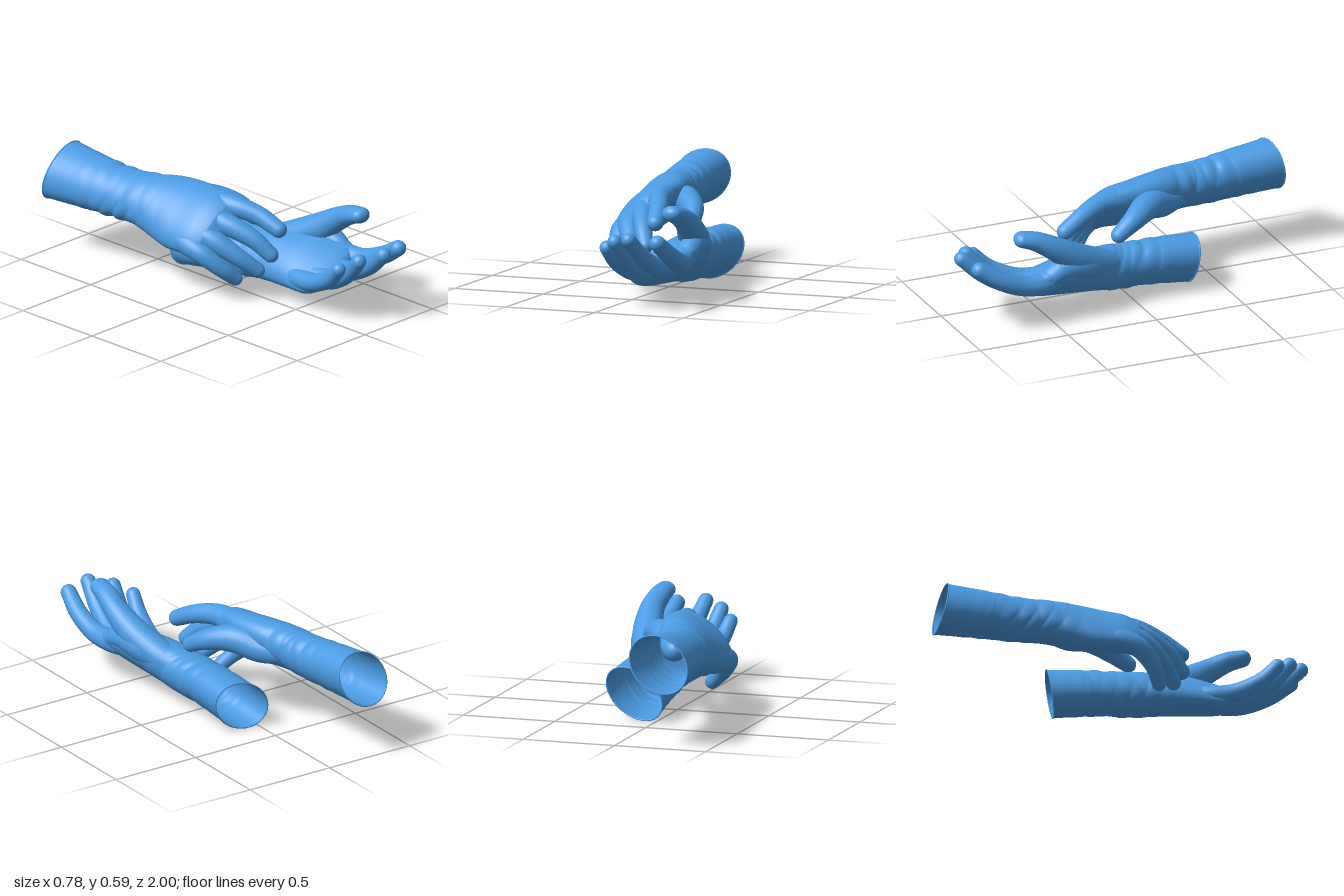
import * as THREE from 'three';

const gloveBlue = new THREE.MeshStandardMaterial({ color: 0x4c9be3, side: THREE.DoubleSide });
gloveBlue.name = 'glove blue';

// Smooth closed skin through rings of points
function skin(rings) {
  const n = rings[0].length, pos = [], idx = [];
  rings.forEach((ring) => ring.forEach((p) => pos.push(p.x, p.y, p.z)));
  for (let i = 0; i < rings.length - 1; i++) {
    for (let j = 0; j < n; j++) {
      const k = (j + 1) % n;
      const a = i * n + j, b = i * n + k, c = a + n, d = b + n;
      idx.push(a, b, c, b, d, c);
    }
  }
  const geo = new THREE.BufferGeometry();
  geo.setAttribute('position', new THREE.Float32BufferAttribute(pos, 3));
  geo.setIndex(idx);
  geo.computeVertexNormals();
  return geo;
}

function ellipse(center, right, up, a, b, n) {
  return Array.from({ length: n }, (_, j) => {
    const t = (j / n) * Math.PI * 2;
    return center.clone().addScaledVector(right, a * Math.cos(t)).addScaledVector(up, b * Math.sin(t));
  });
}

function add(group, name, geo) {
  const mesh = new THREE.Mesh(geo, gloveBlue);
  mesh.name = name;
  group.add(mesh);
}

// Digit: path points [x, y, z, radius, optional sideways widening], rounded at both ends
function digit(points) {
  const path = new THREE.CatmullRomCurve3(points.map((p) => new THREE.Vector3(p[0], p[1], p[2])));
  const radii = new THREE.CatmullRomCurve3(points.map((p, i) => new THREE.Vector3(p[3], p[4] ?? 1, i * 0.1)));
  const rings = [], steps = 28, capSteps = 8;
  const ring = (t, advance, scale) => {
    const tan = path.getTangent(t);
    const right = new THREE.Vector3(0, 1, 0).cross(tan).normalize();
    const up = tan.clone().cross(right);
    const size = radii.getPoint(t), r = size.x;
    const center = path.getPoint(t).addScaledVector(tan, r * advance);
    rings.push(ellipse(center, right, up, r * size.y * scale, r * scale, 24));
  };
  const cap = (t, side, i) => {
    const f = (i / capSteps) * Math.PI / 2;
    ring(t, side * Math.sin(f), Math.max(Math.cos(f), 0.001));
  };
  for (let i = capSteps; i >= 1; i--) cap(0, -1, i);
  for (let i = 0; i <= steps; i++) ring(i / steps, 0, 1);
  for (let i = 1; i <= capSteps; i++) cap(1, 1, i);
  return skin(rings);
}

// Sleeve and palm: sections [z, x, y, half width, half thickness, roll in degrees]
function sleeveRings({ sections, slopeX, slopeY, foldAt, foldSpread, hemAt }) {
  const path = new THREE.CatmullRomCurve3(sections.map((s) => new THREE.Vector3(s[1], s[2], s[0])));
  const size = new THREE.CatmullRomCurve3(sections.map((s) => new THREE.Vector3(s[3], s[4], THREE.MathUtils.degToRad(s[5]))));
  const rings = [], steps = 220;
  for (let i = 0; i <= steps; i++) {
    const c = path.getPoint(i / steps), s = size.getPoint(i / steps);
    const right = new THREE.Vector3(Math.cos(s.z), Math.sin(s.z), 0);
    const up = new THREE.Vector3(-right.y, right.x, 0);
    const ring = ellipse(c, right, up, s.x, s.y, 72);
    const fold = Math.exp(-(((c.z - foldAt) / foldSpread) ** 2));
    const hem = c.z < hemAt ? 0.012 : 0;
    ring.forEach((p, j) => {
      // Slanted cloth folds with sharp creases, bunched around the wrist
      const t = (j / 72) * Math.PI * 2;
      const wave = 2 * Math.abs(Math.sin(c.z * 27 + 1.3 * Math.sin(t + 0.6))) - 1.2
        + 1.3 * Math.abs(Math.sin(c.z * 38 - 1.6 * Math.cos(t - 0.4) + 0.6 * Math.sin(2 * t))) - 0.8;
      const patch = 0.6 + 0.4 * Math.sin(2 * t + c.z * 9);
      const k = 1 + hem + 0.036 * fold * patch * wave;
      p.x = c.x + (p.x - c.x) * k;
      p.y = c.y + (p.y - c.y) * k;
      p.z += (p.x - c.x) * slopeX + (p.y - c.y) * slopeY;
    });
    rings.push(ring);
  }
  return rings;
}

function glove(name, spec) {
  const g = new THREE.Group();
  g.name = name;
  const rings = sleeveRings(spec);
  add(g, 'sleeveAndPalm', skin(rings));
  // Beaded edge of the cuff
  const edge = new THREE.CatmullRomCurve3(rings[0], true);
  add(g, 'cuffRim', new THREE.TubeGeometry(edge, 96, 0.004, 8, true));
  for (const [part, points] of Object.entries(spec.digits)) add(g, part, digit(points));
  return g;
}

// Palm-down glove, fingers curling downward
const upper = {
  slopeX: -0.12, slopeY: 0.21, foldAt: -0.54, foldSpread: 0.2, hemAt: -0.72,
  sections: [
    [-0.967, -0.23, 0.432, 0.167, 0.129, 40],
    [-0.75, -0.215, 0.42, 0.15, 0.12, 40],
    [-0.55, -0.195, 0.41, 0.142, 0.113, 40],
    [-0.4, -0.178, 0.413, 0.151, 0.11, 40],
    [-0.28, -0.16, 0.405, 0.182, 0.108, 40],
    [-0.14, -0.151, 0.388, 0.205, 0.102, 40],
    [-0.02, -0.148, 0.383, 0.2, 0.09, 40],
    [0.06, -0.138, 0.37, 0.175, 0.072, 40],
    [0.1, -0.125, 0.358, 0.13, 0.045, 40],
    [0.12, -0.12, 0.355, 0.02, 0.01, 40],
  ],
  digits: {
    thumb: [[-0.13, 0.4, -0.42, 0.058], [-0.06, 0.4, -0.28, 0.078], [0.025, 0.43, -0.16, 0.074], [0.115, 0.403, -0.04, 0.056], [0.149, 0.35, 0.058, 0.042]],
    indexFinger: [[-0.07, 0.445, -0.18, 0.06], [-0.045, 0.465, -0.04, 0.064], [-0.025, 0.465, 0.08, 0.057], [0.025, 0.433, 0.21, 0.049], [0.055, 0.378, 0.322, 0.043]],
    middleFinger: [[-0.125, 0.4, -0.15, 0.06], [-0.12, 0.405, -0.03, 0.072], [-0.107, 0.395, 0.09, 0.06], [-0.048, 0.33, 0.24, 0.048], [-0.002, 0.253, 0.32, 0.041]],
    ringFinger: [[-0.19, 0.35, -0.15, 0.06], [-0.195, 0.347, -0.03, 0.07], [-0.19, 0.325, 0.08, 0.059], [-0.125, 0.242, 0.205, 0.047], [-0.05, 0.167, 0.27, 0.04]],
    littleFinger: [[-0.24, 0.315, -0.16, 0.05], [-0.257, 0.297, -0.05, 0.062], [-0.255, 0.264, 0.06, 0.054], [-0.195, 0.183, 0.15, 0.044], [-0.127, 0.12, 0.185, 0.038]],
  },
};

// Palm-up glove, fingers curling upward
const lower = {
  slopeX: 0.1, slopeY: -0.15, foldAt: 0.02, foldSpread: 0.18, hemAt: -0.14,
  sections: [
    [-0.355, 0.113, 0.142, 0.168, 0.121, 35],
    [-0.1, 0.125, 0.165, 0.157, 0.116, 35],
    [0.05, 0.135, 0.17, 0.15, 0.118, 33],
    [0.2, 0.158, 0.19, 0.17, 0.112, 30],
    [0.4, 0.182, 0.2, 0.197, 0.1, 28],
    [0.53, 0.187, 0.192, 0.197, 0.08, 26],
    [0.59, 0.185, 0.195, 0.175, 0.058, 25],
    [0.62, 0.182, 0.2, 0.13, 0.035, 25],
    [0.64, 0.182, 0.2, 0.02, 0.008, 25],
  ],
  digits: {
    thumb: [[0.17, 0.2, 0.03, 0.06], [0.235, 0.25, 0.2, 0.08], [0.288, 0.33, 0.37, 0.08], [0.312, 0.415, 0.5, 0.063, 1.03], [0.305, 0.468, 0.6, 0.051, 1.15], [0.298, 0.488, 0.675, 0.042, 1.28]],
    thumbWeb: [[0.19, 0.2, 0.13, 0.06], [0.275, 0.275, 0.3, 0.08], [0.315, 0.29, 0.45, 0.062], [0.315, 0.235, 0.55, 0.05]],
    indexFinger: [[0.26, 0.23, 0.4, 0.055], [0.305, 0.23, 0.53, 0.062], [0.33, 0.235, 0.66, 0.053], [0.338, 0.295, 0.81, 0.048], [0.323, 0.368, 0.925, 0.042]],
    middleFinger: [[0.19, 0.19, 0.4, 0.06], [0.208, 0.185, 0.54, 0.065], [0.217, 0.2, 0.67, 0.053], [0.197, 0.28, 0.84, 0.046], [0.177, 0.382, 0.962, 0.039]],
    ringFinger: [[0.12, 0.17, 0.4, 0.055], [0.115, 0.162, 0.52, 0.063], [0.112, 0.172, 0.64, 0.052], [0.087, 0.252, 0.79, 0.045], [0.068, 0.357, 0.89, 0.039]],
    littleFinger: [[0.075, 0.16, 0.36, 0.045], [0.052, 0.15, 0.48, 0.053], [0.037, 0.167, 0.6, 0.049], [0.01, 0.235, 0.74, 0.043], [-0.008, 0.313, 0.818, 0.037]],
  },
};

export function createModel() {
  const model = new THREE.Group();
  model.name = 'pairOfGloves';
  model.add(glove('upperGlove', upper), glove('lowerGlove', lower));
  return model;
}
